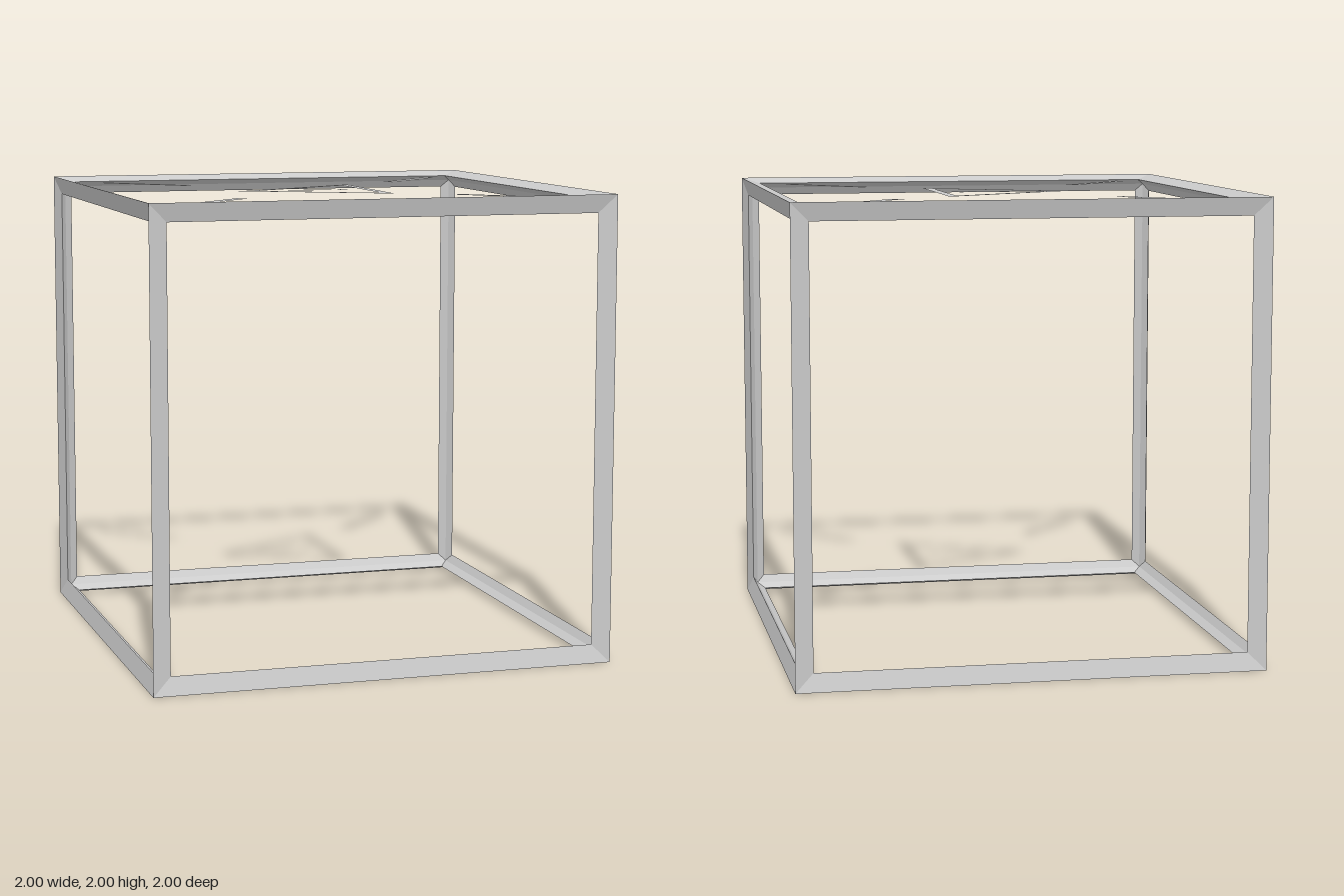
import * as THREE from 'three';

const A = 0.0225;          // depth from the outer ridge to the panel plane
const INSET = 0.078;       // visible width of a frame bar
const material = new THREE.MeshStandardMaterial({ color: 0xcccccc, flatShading: true, side: THREE.DoubleSide });

// One mitred bar along x, at the edge y = 1, z = 1 of a cube from -1 to 1
function barGeometry() {
  // [y, z, half length] of the ridge, top lip, inner ridge and front lip
  const section = [
    [1, 1, 1],
    [1 - A, 1 - INSET, 1 - INSET],
    [1 - 2 * A, 1 - 2 * A, 1 - 2 * A],
    [1 - INSET, 1 - A, 1 - INSET],
  ].reverse();
  const positions = [];
  section.forEach(([y0, z0, e0], i) => {
    const [y1, z1, e1] = section[(i + 1) % section.length];
    const a = [-e0, y0, z0], b = [-e1, y1, z1], c = [e1, y1, z1], d = [e0, y0, z0];
    // section runs from y towards z, so a-b-c faces outwards
    positions.push(...a, ...b, ...c, ...a, ...c, ...d);
  });
  const geometry = new THREE.BufferGeometry();
  geometry.setAttribute('position', new THREE.Float32BufferAttribute(positions, 3));
  geometry.computeVertexNormals();
  return geometry;
}

// Flat shape drawn in (x, z), laid facing up
function flatMesh(name, points, hole) {
  const toVectors = (list) => list.map(([x, z]) => new THREE.Vector2(x, -z));
  const shape = new THREE.Shape(toVectors(points));
  if (hole) shape.holes.push(new THREE.Path(toVectors(hole)));
  const geometry = new THREE.ShapeGeometry(shape).rotateX(-Math.PI / 2);
  const mesh = new THREE.Mesh(geometry, material);
  mesh.name = name;
  return mesh;
}

function rectangle(name, x0, x1, halfWidth) {
  return flatMesh(name, [[x0, halfWidth], [x1, halfWidth], [x1, -halfWidth], [x0, -halfWidth]]);
}

export function createModel() {
  const model = new THREE.Group();
  model.name = 'cubeFrame';

  // Twelve frame bars: four along each axis
  const frame = new THREE.Group();
  frame.name = 'frame';
  frame.position.y = 1;
  const bar = barGeometry();
  ['x', 'y', 'z'].forEach((axis) => {
    for (let i = 0; i < 4; i++) {
      const geometry = bar.clone().rotateX(i * Math.PI / 2);
      if (axis === 'y') geometry.rotateZ(Math.PI / 2);
      if (axis === 'z') geometry.rotateY(Math.PI / 2);
      const mesh = new THREE.Mesh(geometry, material);
      mesh.name = `${axis}Bar${i + 1}`;
      frame.add(mesh);
    }
  });
  model.add(frame);

  // Flat markings across the top opening
  const markings = new THREE.Group();
  markings.name = 'topMarkings';
  markings.position.y = 2 - A;
  markings.add(
    flatMesh('warningTriangle',
      [[-0.37, 0], [0.24, 0.352], [0.24, -0.352]],
      [[-0.285, 0], [0.198, -0.28], [0.198, 0.28]]),
    rectangle('exclamationBar', -0.14, 0.055, 0.024),
    rectangle('exclamationDot', 0.092, 0.135, 0.024),
  );

  // Diagonal dashes pointing at the corners
  for (let i = 0; i < 4; i++) {
    const dash = rectangle(`diagonalDash${i + 1}`, 0.675, 1.142, 0.028);
    dash.rotation.y = Math.PI / 4 + i * Math.PI / 2;
    markings.add(dash);
  }
  model.add(markings);
  return model;
}
